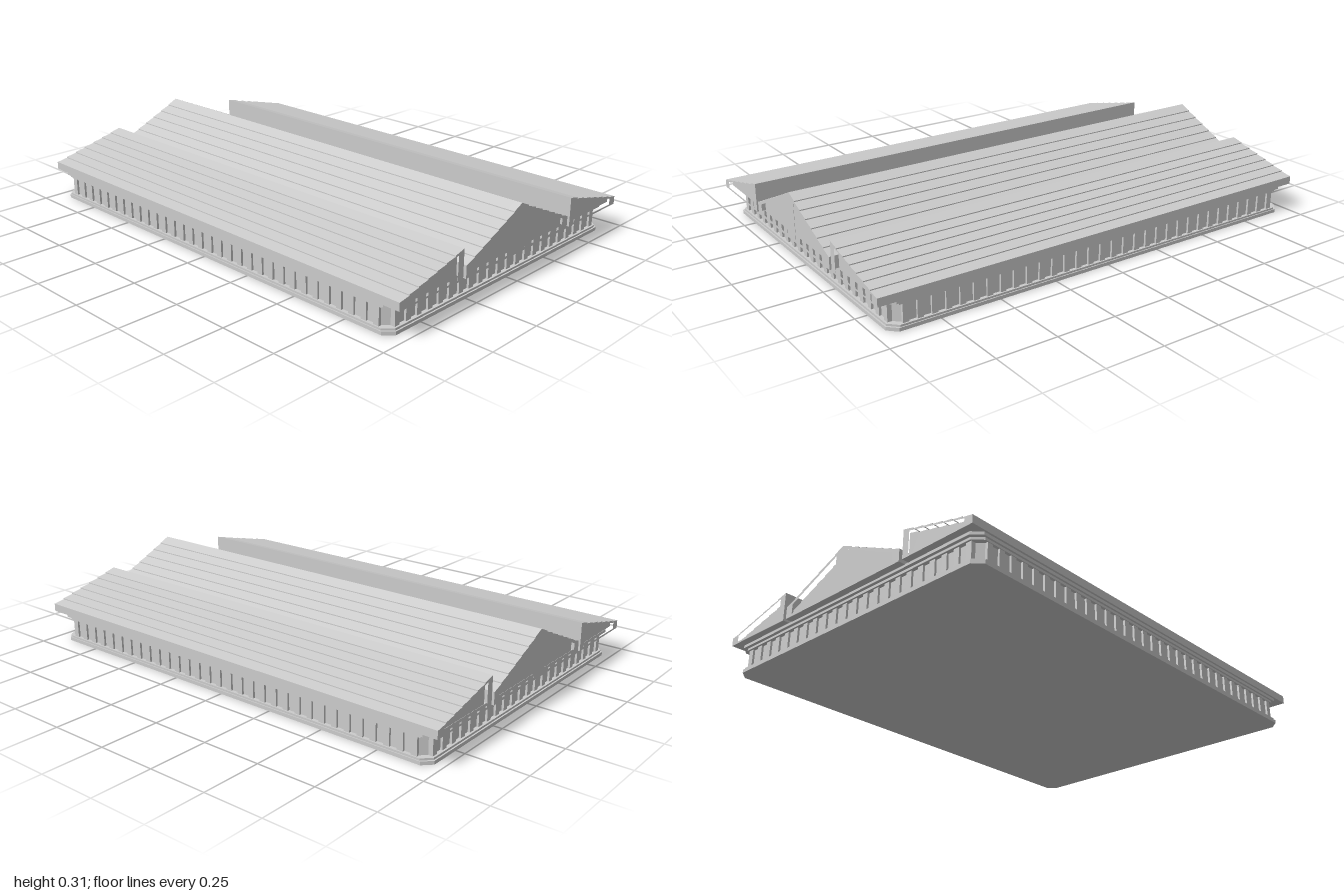
import * as THREE from 'three';

const grey = new THREE.MeshStandardMaterial({ color: 0xcccccc, flatShading: true });
const CX = -0.006; // the walls sit a touch off the roof centre

function add(parent, name, geometry) {
  const mesh = new THREE.Mesh(geometry, grey);
  mesh.name = name;
  parent.add(mesh);
  return mesh;
}

const shapeOf = pts => new THREE.Shape(pts.map(p => new THREE.Vector2(...p)));

// Slab with chamfered corners, half sizes hx and hz, from y0 to y1
function slab(parent, name, hx, hz, y0, y1, c = 0.035) {
  const s = shapeOf([
    [-hx + c, -hz], [hx - c, -hz], [hx, -hz + c], [hx, hz - c],
    [hx - c, hz], [-hx + c, hz], [-hx, hz - c], [-hx, -hz + c],
  ]);
  const g = new THREE.ExtrudeGeometry(s, { depth: y1 - y0, bevelEnabled: false });
  g.rotateX(-Math.PI / 2).translate(CX, y0, 0);
  return add(parent, name, g);
}

// Overlapping roof courses from the eave up to the ridge, as [z, y] points
function courses(eave, ridge, count, lap = 0.004) {
  const pts = [];
  for (let i = 0; i < count; i++) {
    const at = t => [0, 1].map(k => eave[k] + (ridge[k] - eave[k]) * t);
    const top = at((i + 1) / count);
    pts.push(at(i / count));
    pts.push(i < count - 1 ? [top[0], top[1] - lap] : top);
  }
  return pts;
}

// Extrude a [z, y] profile along x, between x0 and x1
function alongX(pts, holes, x0, x1) {
  const flip = list => list.map(([z, y]) => [-z, y]);
  const s = shapeOf(flip(pts));
  holes.forEach(h => s.holes.push(new THREE.Path(flip(h).map(p => new THREE.Vector2(...p)))));
  const g = new THREE.ExtrudeGeometry(s, { depth: x1 - x0, bevelEnabled: false });
  return g.rotateY(Math.PI / 2).translate(x0, 0, 0);
}

// Roof body with a raised frame around the recessed panels at each end
function roof(parent, name, profile, panels) {
  const group = new THREE.Group();
  group.name = name;
  const inner = 0.97;
  add(group, 'roofBody', alongX(profile, [], -inner, inner));
  add(group, 'leftGableFrame', alongX(profile, panels, inner, 1));
  add(group, 'rightGableFrame', alongX(profile, panels, -1, -inner));
  parent.add(group);
}

const mirror = pts => pts.map(([z, y]) => [-z, y]).reverse();

export function createModel() {
  const model = new THREE.Group();
  model.name = 'hall';

  // Plinth, walls and cornice
  slab(model, 'plinth', 0.958, 0.667, 0, 0.014);
  slab(model, 'plinthStep', 0.952, 0.663, 0.014, 0.022);
  slab(model, 'wall', 0.935, 0.648, 0.022, 0.098);
  slab(model, 'cornice', 0.952, 0.66, 0.096, 0.106);
  slab(model, 'corniceTop', 0.965, 0.668, 0.106, 0.118);

  // Pilasters around all four walls
  const pilasters = new THREE.Group();
  pilasters.name = 'pilasters';
  model.add(pilasters);
  const h = 0.078, y = 0.059, d = 0.02;
  const long = new THREE.BoxGeometry(0.025, h, d);
  const short = new THREE.BoxGeometry(d, h, 0.025);
  for (const side of [-1, 1]) {
    const nLong = 32, nShort = 22;
    for (let i = 0; i < nLong; i++) {
      const x = CX - 0.89 + 1.78 * i / (nLong - 1);
      add(pilasters, 'pilaster', long).position.set(x, y, side * 0.647);
    }
    for (let i = 0; i < nShort; i++) {
      const z = -0.61 + 1.22 * i / (nShort - 1);
      add(pilasters, 'pilaster', short).position.set(CX + side * 0.934, y, z);
    }
  }

  // Central gabled roof
  const slope = courses([0.32, 0.167], [0, 0.31], 7);
  const gable = [[0.32, 0.116], ...slope, ...mirror(slope).slice(1), [-0.32, 0.116]];
  const gablePanel = [[0.285, 0.127], [0.285, 0.167], [0.035, 0.279], [0.035, 0.127]];
  roof(model, 'centralRoof', gable, [gablePanel, mirror(gablePanel)]);

  // Lower lean-to roofs at front and back
  const lean = [[0.675, 0.119], ...courses([0.675, 0.152], [0.337, 0.237], 7), [0.337, 0.117]];
  const leanPanel = [[0.637, 0.126], [0.637, 0.152], [0.367, 0.22], [0.367, 0.126]];
  roof(model, 'frontRoof', lean, [leanPanel]);
  roof(model, 'backRoof', mirror(lean), [mirror(leanPanel)]);

  return model;
}
